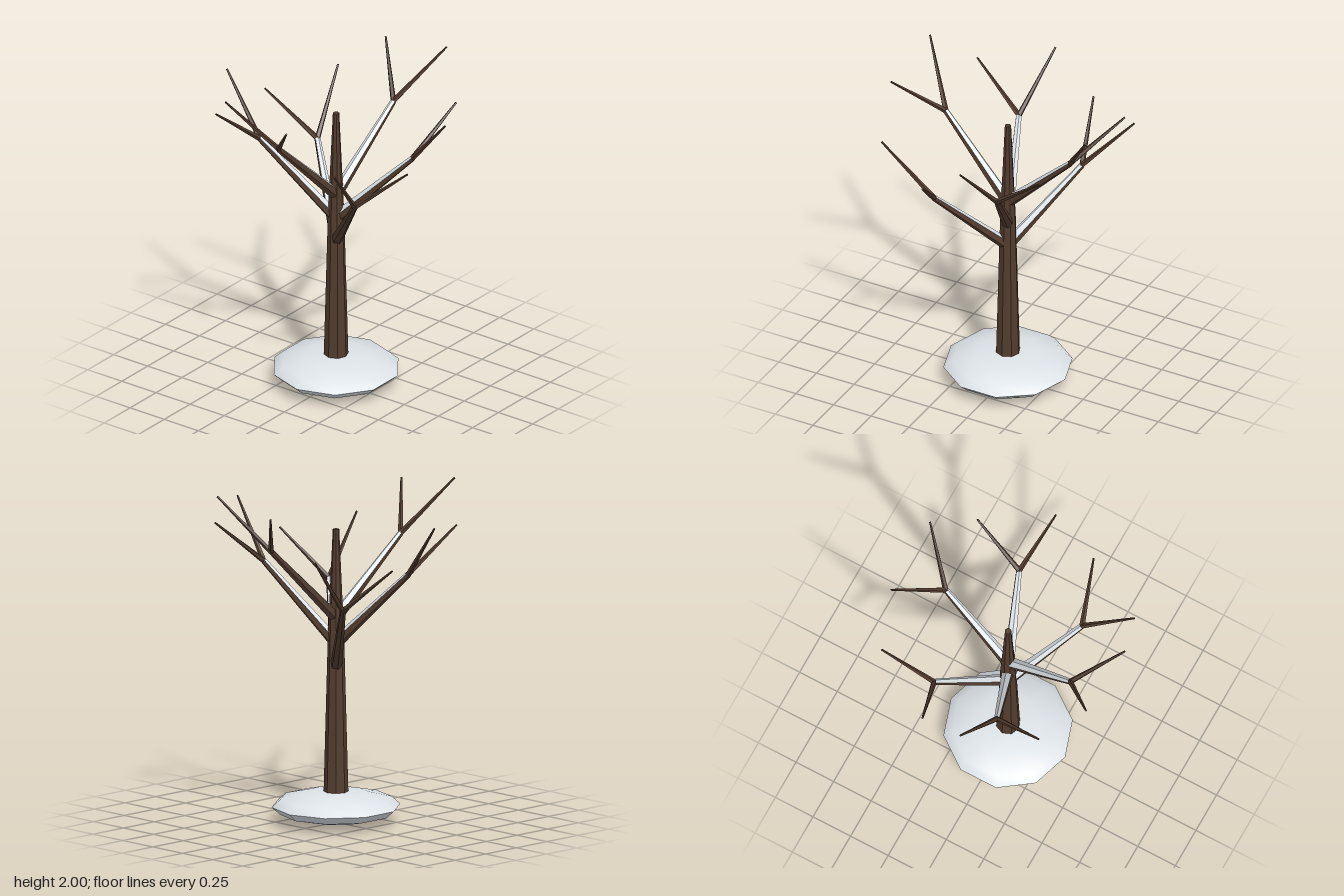
import * as THREE from 'three';
import { toCreasedNormals } from 'three/addons/utils/BufferGeometryUtils.js';

const bark = new THREE.MeshStandardMaterial({ color: 0x523c2e });
bark.name = 'dark bark';
const snow = new THREE.MeshStandardMaterial({ color: 0xe6ecf1 });
snow.name = 'snow white';

const UP = new THREE.Vector3(0, 1, 0);

// Faceted tapered limb between two points; snowy limbs get white upper facets
function limb(name, from, to, r0, r1, sides, snowy = false) {
  const a = new THREE.Vector3(...from);
  const dir = new THREE.Vector3(...to).sub(a);
  const length = dir.length();
  const turn = new THREE.Quaternion().setFromUnitVectors(UP, dir.normalize());
  const indexed = new THREE.CylinderGeometry(r1, r0, length, sides);
  indexed.translate(0, length / 2, 0);
  const geo = indexed.toNonIndexed();
  geo.computeVertexNormals();
  geo.clearGroups();
  const normal = new THREE.Vector3();
  for (let i = 0; i < sides; i++) {
    normal.fromBufferAttribute(geo.attributes.normal, i * 6).applyQuaternion(turn);
    geo.addGroup(i * 6, 6, snowy && normal.y > 0.35 ? 1 : 0);
  }
  geo.addGroup(sides * 6, sides * 6, 0); // end caps
  const mesh = new THREE.Mesh(geo, snowy ? [bark, snow] : bark);
  mesh.name = name;
  mesh.position.copy(a);
  mesh.quaternion.copy(turn);
  return mesh;
}

// One of each opposite pair: start height, fork point and two twig tips
const branches = [
  { start: 1.22, fork: [0.075, 1.67, -0.455], tips: [[-0.16, 1.93, -0.69], [0.295, 2.0, -0.68]] },
  { start: 1.07, fork: [0.435, 1.52, -0.165], tips: [[0.512, 1.78, -0.485], [0.735, 1.85, -0.085]] },
  { start: 0.92, fork: [0.36, 1.36, 0.295], tips: [[0.675, 1.63, 0.2], [0.44, 1.7, 0.6]] },
];

export function createModel() {
  const tree = new THREE.Group();
  tree.name = 'bareWinterTree';

  // Trunk in two tapers
  tree.add(limb('lowerTrunk', [0, 0, 0], [0, 1.1, 0], 0.077, 0.048, 8));
  tree.add(limb('upperTrunk', [0, 1.1, 0], [0, 1.75, 0], 0.048, 0.019, 8));

  // Forked branches, each repeated on the opposite side
  for (const side of [1, -1]) {
    const place = ([x, y, z]) => [x * side, y, z * side];
    for (const { start, fork, tips } of branches) {
      tree.add(limb('branch', [0, start, 0], place(fork), 0.036, 0.018, 6, true));
      for (const tip of tips) {
        tree.add(limb('twig', place(fork), place(tip), 0.017, 0.006, 5));
      }
    }
  }

  // Squashed mound of snow around the foot
  const ball = new THREE.SphereGeometry(0.38, 10, 6);
  ball.rotateY(Math.PI / 2);
  ball.scale(1, 0.09 / 0.38, 1);
  const mound = new THREE.Mesh(toCreasedNormals(ball, Math.PI / 3), snow);
  mound.name = 'snowMound';
  mound.position.y = 0.1;
  tree.add(mound);

  return tree;
}
